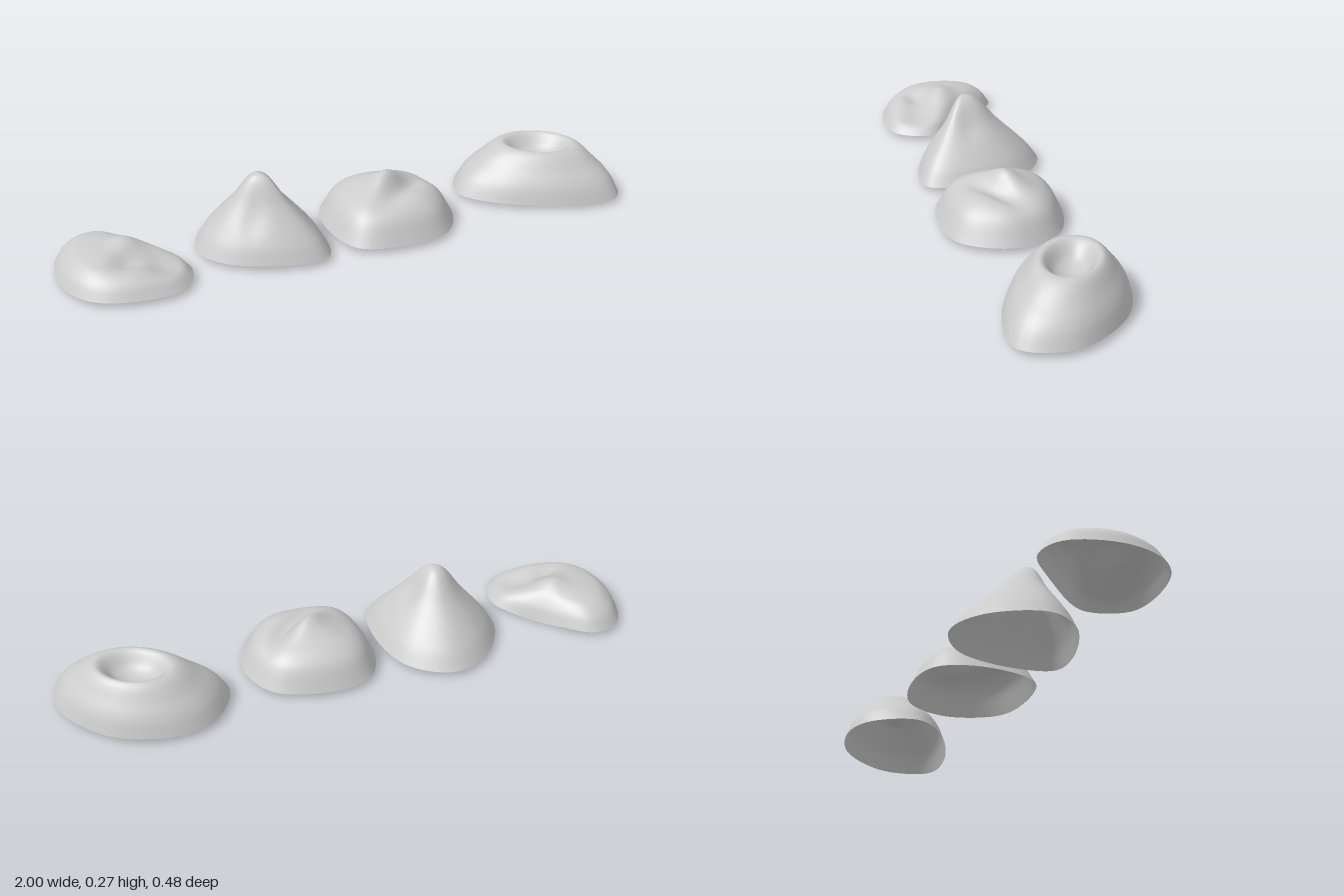
import * as THREE from 'three';

const SIDES = 64, STEPS = 28;

// Smooth interpolation through a short list of [t, y] points, level at the start
function sampleProfile(profile, t) {
  const last = profile.length - 1;
  let i = 0;
  while (i < last - 1 && t > profile[i + 1][0]) i++;
  const slope = (k) => {
    if (k === 0) return 0;
    const a = profile[k - 1], b = profile[Math.min(k + 1, last)];
    return (b[1] - a[1]) / (b[0] - a[0]);
  };
  const [t0, y0] = profile[i], [t1, y1] = profile[i + 1];
  const w = t1 - t0, u = (t - t0) / w, u2 = u * u, u3 = u2 * u;
  return (2 * u3 - 3 * u2 + 1) * y0 + (u3 - 2 * u2 + u) * w * slope(i) +
    (3 * u2 - 2 * u3) * y1 + (u3 - u2) * w * slope(i + 1);
}

// Soft elliptical bump (or hollow, if h is negative)
function bumpHeight({ x, z, h, rx, rz = rx, turn = 0 }, px, pz) {
  const c = Math.cos(turn), s = Math.sin(turn), dx = px - x, dz = pz - z;
  return h * Math.exp(-(((dx * c + dz * s) / rx) ** 2) - ((dz * c - dx * s) / rz) ** 2);
}

// Open shell: rings run from the core out to the base outline (t = 1);
// negative t shrinks the core ellipse to its centre to form a bowl.
function mound(name, outline, core, profile, bumps = []) {
  const { x: cx, z: cz, rx = 0, rz = 0, turn = 0 } = core;
  const curve = new THREE.CatmullRomCurve3(outline.map(([x, z]) => new THREE.Vector3(x, 0, z)), true);
  const rim = curve.getSpacedPoints(SIDES).slice(0, SIDES);
  const start = profile[0][0];
  const position = [], index = [];
  const id = (i, j) => (i === 0 ? 0 : 1 + (i - 1) * SIDES + (j % SIDES));

  for (let i = 0; i <= STEPS; i++) {
    const t = start + (1 - start) * i / STEPS;
    const s = Math.max(t, 0);
    for (let j = 0; j < (i === 0 ? 1 : SIDES); j++) {
      const ox = rim[j].x - cx, oz = rim[j].z - cz;
      const angle = Math.atan2(oz, ox);
      const r = rx ? 1 / Math.hypot(Math.cos(angle - turn) / rx, Math.sin(angle - turn) / rz) : 0;
      const inner = r * (1 + Math.min(t, 0)) * (1 - s);
      const x = cx + inner * Math.cos(angle) + ox * s;
      const z = cz + inner * Math.sin(angle) + oz * s;
      let y = sampleProfile(profile, t);
      for (const b of bumps) y += bumpHeight(b, x, z) * (b.atRim ? s ** 4 : 1 - s ** 4);
      position.push(x, Math.max(y, 0), z);
    }
  }
  for (let i = 0; i < STEPS; i++) {
    for (let j = 0; j < SIDES; j++) {
      const a = id(i, j), b = id(i, j + 1), c = id(i + 1, j), d = id(i + 1, j + 1);
      if (i > 0) index.push(a, b, c);
      index.push(b, d, c);
    }
  }
  const geometry = new THREE.BufferGeometry();
  geometry.setAttribute('position', new THREE.Float32BufferAttribute(position, 3));
  geometry.setIndex(index);
  geometry.computeVertexNormals();
  const mesh = new THREE.Mesh(geometry,
    new THREE.MeshStandardMaterial({ color: 0xcccccc, side: THREE.DoubleSide }));
  mesh.name = name;
  return mesh;
}

export function createModel() {
  const group = new THREE.Group();
  group.name = 'mounds';

  // Low mound with a sunken front lobe and a dipping edge
  group.add(mound('lowMound',
    [[-1, -0.01], [-0.94, -0.17], [-0.84, -0.195], [-0.7, -0.06],
      [-0.58, 0.09], [-0.64, 0.225], [-0.865, 0.22], [-0.965, 0.14]],
    { x: -0.82, z: 0.02 },
    [[0, 0.108], [0.6, 0.094], [0.86, 0.06], [1, 0.016]],
    [
      { x: -0.77, z: 0.01, h: 0.018, rx: 0.05 },
      { x: -0.67, z: 0.13, h: -0.045, rx: 0.08 },
      { x: -0.79, z: 0.11, h: -0.025, rx: 0.06, rz: 0.04, turn: -0.5 },
      { x: -0.69, z: -0.05, h: -0.016, rx: 0.1, atRim: true },
    ]));

  // Tall mound with a rounded knob on top
  group.add(mound('peakedMound',
    [[-0.535, 0], [-0.44, -0.18], [-0.3, -0.235], [-0.16, -0.15],
      [-0.11, 0.03], [-0.145, 0.205], [-0.25, 0.215], [-0.47, 0.12]],
    { x: -0.32, z: 0.03 },
    [[0, 0.275], [0.17, 0.258], [0.42, 0.183], [0.85, 0.07], [1, 0.016]],
    [
      { x: -0.37, z: 0.1, h: -0.015, rx: 0.04 },
      { x: -0.24, z: 0.03, h: -0.012, rx: 0.04 },
    ]));

  // Broad mound with a slanting groove beside its ridge
  group.add(mound('ridgedMound',
    [[-0.08, -0.03], [-0.02, -0.165], [0.11, -0.195], [0.31, -0.13],
      [0.37, 0.03], [0.285, 0.2], [0.12, 0.23], [-0.04, 0.18]],
    { x: 0.14, z: 0.01 },
    [[0, 0.168], [0.5, 0.138], [0.8, 0.095], [1, 0.016]],
    [
      { x: 0.14, z: 0.01, h: 0.02, rx: 0.06, rz: 0.04, turn: -0.6 },
      { x: 0.19, z: 0.05, h: -0.035, rx: 0.11, rz: 0.04, turn: -0.6 },
    ]));

  // Flat-topped mound with a bowl-shaped crater
  group.add(mound('craterMound',
    [[0.44, -0.05], [0.52, -0.2], [0.65, -0.24], [0.86, -0.17],
      [0.995, 0.03], [0.95, 0.19], [0.8, 0.195], [0.53, 0.07]],
    { x: 0.742, z: -0.03, rx: 0.13, rz: 0.09, turn: 0.52 },
    [[-1, 0.11], [-0.5, 0.125], [0, 0.172], [0.55, 0.11], [0.83, 0.065], [1, 0.016]]));

  return group;
}
